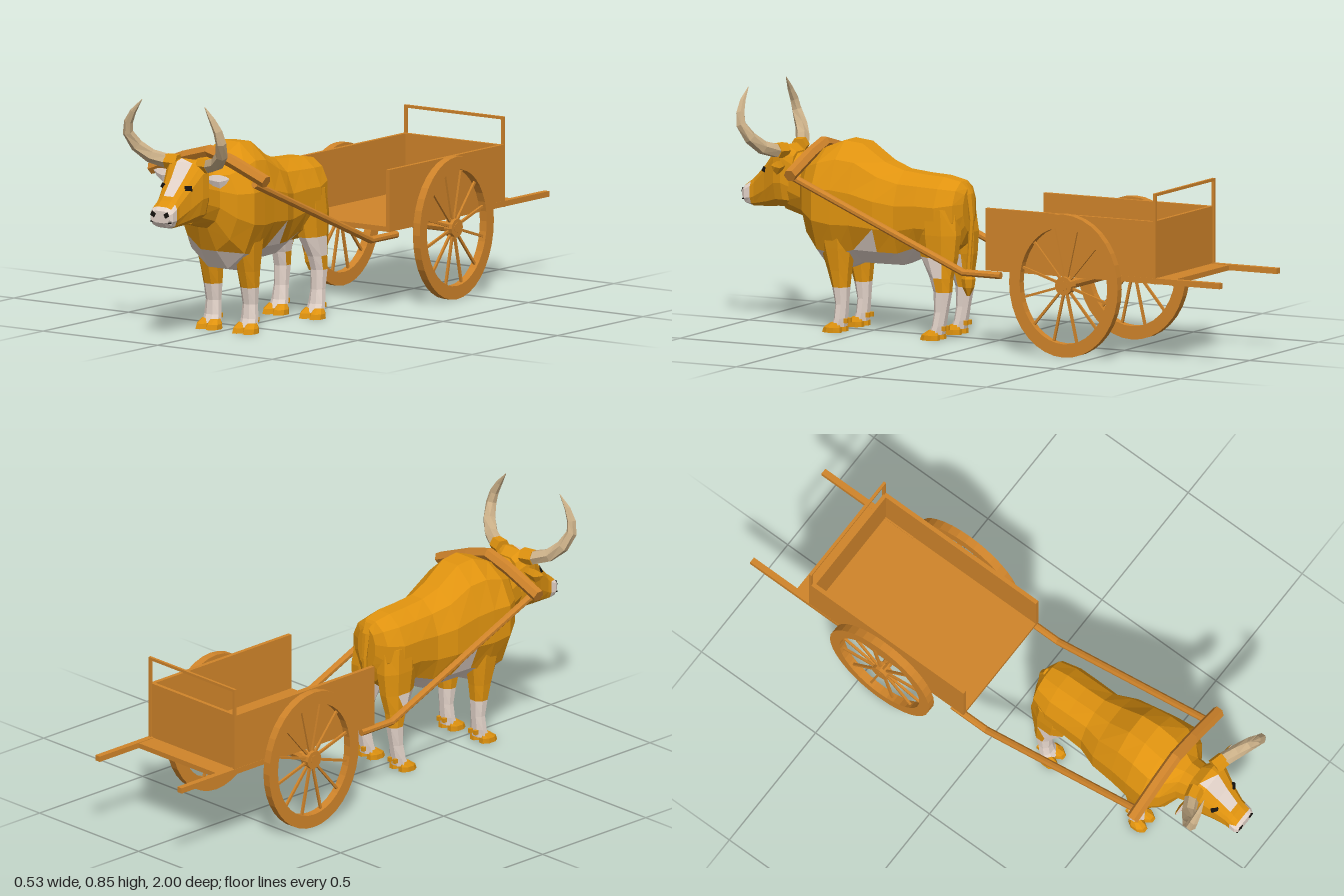
import * as THREE from 'three';

const mat = (color) => new THREE.MeshStandardMaterial({ color, flatShading: true });
const hide = mat(0xe0930f), pale = mat(0xe6d6cc), horn = mat(0xcbb088), wood = mat(0xd0842a), black = mat(0x15120f);
const V = (x, y, z) => new THREE.Vector3(x, y, z);

// Skins a list of rings, caps both ends and sorts faces by the material that pick(centroid, normal) returns
function loft(name, rings, pick) {
  const tris = [], n = rings[0].length;
  const quad = (a, b, c, d) => tris.push([a, b, c], [a, c, d]);
  for (let i = 0; i + 1 < rings.length; i++)
    for (let j = 0; j < n; j++) {
      const k = (j + 1) % n;
      quad(rings[i][j], rings[i][k], rings[i + 1][k], rings[i + 1][j]);
    }
  const first = rings[0], last = rings[rings.length - 1];
  for (let j = 1; j + 1 < n; j++) {
    tris.push([first[0], first[j + 1], first[j]], [last[0], last[j], last[j + 1]]);
  }
  const volume = tris.reduce((s, [a, b, c]) => s + a.dot(b.clone().cross(c)), 0);
  const buckets = new Map();
  for (const t of tris) {
    const [a, b, c] = volume < 0 ? [t[0], t[2], t[1]] : t;
    const mid = a.clone().add(b).add(c).divideScalar(3);
    const normal = b.clone().sub(a).cross(c.clone().sub(a)).normalize();
    const m = typeof pick === 'function' ? pick(mid, normal) : pick;
    if (!buckets.has(m)) buckets.set(m, []);
    buckets.get(m).push(a, b, c);
  }
  const group = new THREE.Group();
  group.name = name;
  for (const [m, pts] of buckets) {
    const g = new THREE.BufferGeometry().setFromPoints(pts);
    g.computeVertexNormals();
    const mesh = new THREE.Mesh(g, m);
    mesh.name = name + 'Surface';
    group.add(mesh);
  }
  return group;
}

// Sweeps a polygon along path points [x, y, z, radius]; ref fixes the roll
function sweep(name, path, sides, ref, material) {
  const p = path.map((q) => V(q[0], q[1], q[2]));
  const rings = p.map((c, i) => {
    const t = p[Math.min(i + 1, p.length - 1)].clone().sub(p[Math.max(i - 1, 0)]).normalize();
    const u = t.clone().cross(ref).normalize(), v = u.clone().cross(t);
    return Array.from({ length: sides }, (_, j) => {
      const a = ((j + 0.5) / sides) * Math.PI * 2;
      return c.clone().addScaledVector(u, Math.cos(a) * path[i][3]).addScaledVector(v, Math.sin(a) * path[i][3]);
    });
  });
  return loft(name, rings, material);
}

// Upright cross-section: z, top, bottom, half width, height of the widest point
const section = (power) => ([z, top, bottom, w, mid]) => Array.from({ length: 12 }, (_, j) => {
  const a = ((j + 0.5) / 12) * Math.PI * 2, s = Math.sin(a), c = Math.cos(a) / Math.cos(Math.PI / 12);
  const h = Math.sign(c) * Math.abs(c) ** power;
  return V(w * Math.sign(s) * Math.abs(s) ** power, mid + (c > 0 ? top - mid : mid - bottom) * h, z);
});

// Level cross-section: y, centre x, centre z, half width, half depth
const level = ([y, x, z, rx, rz]) => Array.from({ length: 8 }, (_, j) => {
  const a = ((j + 0.5) / 8) * Math.PI * 2;
  return V(x + Math.cos(a) * rx * 1.06, y, z + Math.sin(a) * rz * 1.06);
});

function box(parent, name, sx, sy, sz, x, y, z, material = wood) {
  const m = new THREE.Mesh(new THREE.BoxGeometry(sx, sy, sz), material);
  m.name = name;
  m.position.set(x, y, z);
  parent.add(m);
  return m;
}

function createOx() {
  const ox = new THREE.Group();
  ox.name = 'ox';

  // Trunk and neck, with a pale belly
  ox.add(loft('body', [
    [0.115, 0.53, 0.38, 0.045, 0.46], [0.135, 0.555, 0.33, 0.09, 0.45], [0.2, 0.568, 0.28, 0.11, 0.43],
    [0.28, 0.572, 0.28, 0.11, 0.43], [0.36, 0.58, 0.245, 0.11, 0.42], [0.43, 0.605, 0.245, 0.138, 0.43],
    [0.52, 0.665, 0.245, 0.148, 0.44], [0.59, 0.672, 0.215, 0.158, 0.45], [0.66, 0.645, 0.23, 0.165, 0.46],
    [0.715, 0.615, 0.3, 0.13, 0.47], [0.75, 0.605, 0.385, 0.078, 0.49], [0.84, 0.615, 0.41, 0.062, 0.52],
  ].map(section(1)), (c) =>
    (c.z > 0.27 && c.z < 0.72 && c.y < 0.3) || (c.z > 0.42 && c.z < 0.53 && c.y < 0.35) ? pale : hide));

  // Head with a pale blaze and muzzle
  ox.add(loft('head', [
    [0.79, 0.615, 0.42, 0.06, 0.54], [0.825, 0.638, 0.42, 0.085, 0.575], [0.855, 0.63, 0.42, 0.082, 0.57],
    [0.9, 0.575, 0.415, 0.064, 0.52], [0.95, 0.522, 0.412, 0.05, 0.475], [0.965, 0.507, 0.412, 0.05, 0.465],
    [0.988, 0.49, 0.418, 0.05, 0.457], [1.0, 0.477, 0.435, 0.042, 0.457],
  ].map(section(0.65)), (c, n) => {
    const blaze = Math.abs(c.x) < 0.02 && n.y > 0.3 && c.z > 0.84 && c.z < 0.95;
    return blaze || c.z > 0.99 || (c.z > 0.965 && c.y < 0.485) ? pale : hide;
  }));
  box(ox, 'mouth', 0.088, 0.004, 0.012, 0, 0.437, 0.992, black);

  for (const s of [1, -1]) {
    // Eye and nostril
    const eye = box(ox, 'eye', 0.026, 0.017, 0.018, s * 0.052, 0.547, 0.902, black);
    eye.rotation.set(-0.5, s * 0.5, s * 0.3);
    box(ox, 'nostril', 0.018, 0.016, 0.006, s * 0.029, 0.464, 1.0, black).rotation.z = s * 0.5;

    // Horn: dark root, then a curve out, up and back in
    ox.add(sweep('hornRoot', [[s * 0.05, 0.622, 0.825, 0.03], [s * 0.095, 0.624, 0.835, 0.028]], 6, V(0, 0, 1), hide));
    ox.add(sweep('horn', [
      [s * 0.09, 0.623, 0.834, 0.026], [s * 0.145, 0.64, 0.86, 0.025], [s * 0.185, 0.677, 0.888, 0.023],
      [s * 0.203, 0.725, 0.915, 0.019], [s * 0.195, 0.765, 0.922, 0.016], [s * 0.172, 0.805, 0.925, 0.011],
      [s * 0.136, 0.85, 0.922, 0.001],
    ], 6, V(0, 0, 1), horn));

    // Ear: a flat leaf, pale in front
    const leaf = [[0.06, 0.572, 0.006], [0.095, 0.57, 0.02], [0.125, 0.568, 0.024], [0.15, 0.575, 0.014], [0.165, 0.582, 0.001]];
    ox.add(loft('ear', leaf.map(([x, y, r]) => [
      V(s * x, y + r, 0.815), V(s * x, y, 0.815 + r * 0.3), V(s * x, y - r, 0.815), V(s * x, y, 0.815 - r * 0.5),
    ]), (c, n) => (n.z > 0 ? pale : hide)));

    // Legs: y, x, z, half width, half depth
    const x = s * 0.08;
    const shade = (c) => (c.y > 0.025 && c.y < 0.165 ? pale : hide);
    const foreleg = [
      [0.02, x, 0.59, 0.034, 0.026], [0.05, x, 0.582, 0.032, 0.022], [0.1, x, 0.578, 0.028, 0.022],
      [0.16, x, 0.582, 0.033, 0.03], [0.22, x, 0.588, 0.038, 0.042], [0.3, x, 0.595, 0.048, 0.06],
      [0.4, s * 0.085, 0.6, 0.055, 0.07],
    ];
    const hindleg = [
      [0.02, x, 0.2, 0.034, 0.027], [0.05, x, 0.19, 0.031, 0.023], [0.1, x, 0.182, 0.026, 0.024],
      [0.17, x, 0.176, 0.028, 0.032], [0.22, s * 0.078, 0.183, 0.031, 0.042], [0.29, s * 0.07, 0.195, 0.038, 0.068],
      [0.37, s * 0.065, 0.2, 0.045, 0.08], [0.46, s * 0.055, 0.205, 0.05, 0.075],
    ];
    ox.add(loft('frontLeg', foreleg.map(level), shade));
    ox.add(loft('hindLeg', hindleg.map(level), (c) =>
      shade(c) === pale || (c.y < 0.27 && c.z > 0.185 && c.y > 0.025) ? pale : hide));

    // Cloven hooves and dewclaws
    for (const z of [0.606, 0.215])
      for (const t of [-1, 1]) {
        const cx = x + t * 0.023;
        ox.add(loft('hoof', [[0, cx, z, 0.023, 0.036], [0.018, cx, z - 0.003, 0.022, 0.032],
          [0.035, cx - t * 0.004, z - 0.013, 0.016, 0.018]].map(level), hide));
        box(ox, 'dewclaw', 0.012, 0.016, 0.014, x + t * 0.013, 0.042, z - 0.05, hide);
      }
  }

  // Tail with tuft
  ox.add(sweep('tail', [
    [0, 0.54, 0.135, 0.02], [0, 0.51, 0.115, 0.015], [0, 0.42, 0.105, 0.01], [0, 0.32, 0.112, 0.008],
    [0, 0.245, 0.118, 0.009], [0, 0.21, 0.118, 0.025], [0, 0.18, 0.118, 0.021], [0, 0.15, 0.118, 0.006],
  ], 6, V(1, 0, 0), hide));
  ox.position.x = 0.01;
  return ox;
}

function createWheel() {
  // Slightly tall wheel: rim, hub and twelve spokes, built in the xy plane
  const wheel = new THREE.Group();
  wheel.name = 'wheel';
  const shape = new THREE.Shape().absellipse(0, 0, 0.217, 0.253, 0, Math.PI * 2);
  shape.holes.push(new THREE.Path().absellipse(0, 0, 0.175, 0.206, 0, Math.PI * 2, true));
  const rim = new THREE.Mesh(new THREE.ExtrudeGeometry(shape, { depth: 0.03, bevelEnabled: false, curveSegments: 18 }), wood);
  rim.name = 'rim';
  rim.position.z = -0.015;
  const hub = new THREE.Mesh(new THREE.CylinderGeometry(0.033, 0.033, 0.034, 12).rotateX(Math.PI / 2), wood);
  hub.name = 'hub';
  wheel.add(rim, hub);
  for (let i = 0; i < 12; i++) {
    const a = ((i + 0.5) / 12) * Math.PI * 2;
    wheel.add(sweep('spoke', [[0, 0, 0, 0.006], [Math.cos(a) * 0.182, Math.sin(a) * 0.213, 0, 0.006]], 4, V(0, 0, 1), wood));
  }
  wheel.rotation.y = Math.PI / 2;
  return wheel;
}

function createCart() {
  const cart = new THREE.Group();
  cart.name = 'cart';
  // Open-fronted bed
  box(cart, 'floor', 0.434, 0.018, 0.745, 0, 0.289, -0.4375);
  box(cart, 'backWall', 0.42, 0.22, 0.014, 0, 0.39, -0.73);
  box(cart, 'gateBar', 0.434, 0.01, 0.01, 0, 0.594, -0.738);
  const axle = new THREE.Mesh(new THREE.CylinderGeometry(0.018, 0.018, 0.53, 8).rotateZ(Math.PI / 2), wood);
  axle.name = 'axle';
  axle.position.set(0, 0.255, -0.4);
  cart.add(axle);
  for (const s of [1, -1]) {
    box(cart, 'sideWall', 0.015, 0.22, 0.67, s * 0.2095, 0.39, -0.4);
    box(cart, 'gatePost', 0.01, 0.32, 0.01, s * 0.212, 0.439, -0.738);
    box(cart, 'rearRail', 0.022, 0.02, 0.4, s * 0.207, 0.29, -0.8);
    const wheel = createWheel();
    wheel.position.set(s * 0.247, 0.254, -0.4);
    cart.add(wheel);
    // Bent draught shaft up to the yoke
    cart.add(sweep('shaft', [
      [s * 0.207, 0.264, -0.12, 0.013], [s * 0.207, 0.264, 0.03, 0.013], [s * 0.207, 0.552, 0.71, 0.013],
    ], 8, V(1, 0, 0), wood));
  }
  // Arched yoke
  cart.add(sweep('yoke', [
    [-0.25, 0.563, 0.7, 0.023], [-0.1, 0.622, 0.7, 0.023], [0, 0.65, 0.7, 0.023],
    [0.1, 0.622, 0.7, 0.023], [0.25, 0.563, 0.7, 0.023],
  ], 6, V(0, 0, 1), wood));
  return cart;
}

export function createModel() {
  const model = new THREE.Group();
  model.name = 'oxCart';
  model.add(createOx(), createCart());
  return model;
}
